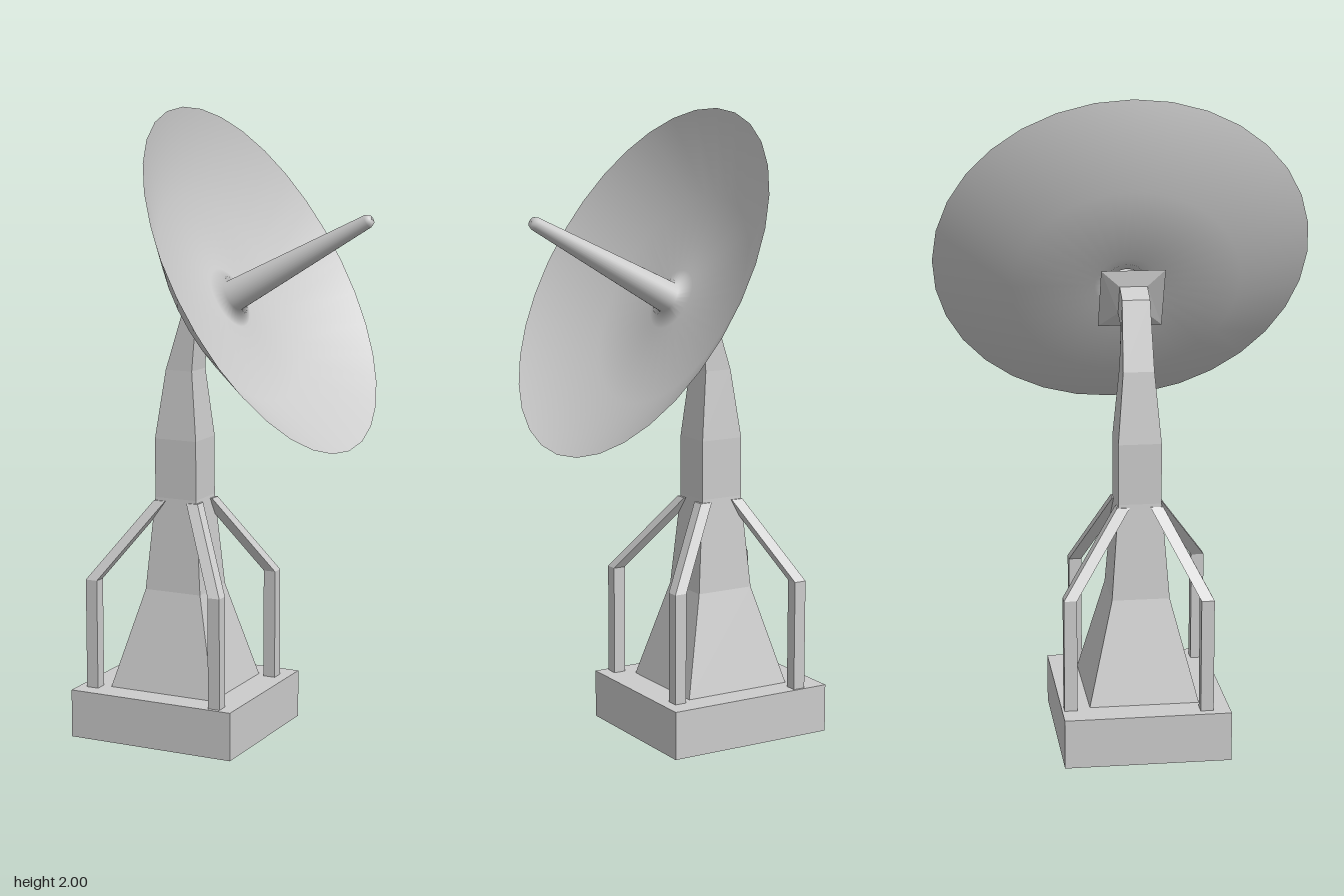
import * as THREE from 'three';

const CX = -0.18, CZ = 0.015; // centre of the base and tower

// Skin a list of four-cornered sections (listed bottom to top) and cap both ends.
function loft(name, sections) {
  const pos = [];
  const quad = (a, b, c, d) => [a, b, c, a, c, d].forEach((p) => pos.push(...p));
  for (let i = 0; i < sections.length - 1; i++) {
    const lo = sections[i], hi = sections[i + 1];
    for (let k = 0; k < 4; k++) {
      const n = (k + 1) % 4;
      quad(lo[k], lo[n], hi[n], hi[k]);
    }
  }
  const [a, b, c, d] = sections[0];
  quad(d, c, b, a);
  quad(...sections[sections.length - 1]);
  const geo = new THREE.BufferGeometry();
  geo.setAttribute('position', new THREE.Float32BufferAttribute(pos, 3));
  geo.computeVertexNormals();
  const mesh = new THREE.Mesh(geo, new THREE.MeshStandardMaterial({ color: 0xcccccc, flatShading: true }));
  mesh.name = name;
  return mesh;
}

// Section spanning two points of the side profile, with half width w in z.
const section = (x0, y0, x1, y1, w) => [
  [x0, y0, CZ + w], [x1, y1, CZ + w], [x1, y1, CZ - w], [x0, y0, CZ - w],
];

// Level square section around a point.
const square = (x, y, z, h = 0.02) => [
  [x - h, y, z + h], [x + h, y, z + h], [x + h, y, z - h], [x - h, y, z - h],
];

export function createModel() {
  const model = new THREE.Group();
  model.name = 'dishAntenna';

  // Base slab
  const base = new THREE.Mesh(
    new THREE.BoxGeometry(0.565, 0.155, 0.515),
    new THREE.MeshStandardMaterial({ color: 0xcccccc, flatShading: true }),
  );
  base.name = 'base';
  base.position.set(CX, 0.0775, CZ);
  model.add(base);

  // Tapering tower, bent neck and flared mounting plate
  model.add(loft('tower', [
    section(-0.365, 0.155, 0, 0.155, 0.17),
    section(-0.28, 0.47, -0.085, 0.47, 0.09),
    section(-0.255, 0.77, -0.11, 0.77, 0.067),
    section(-0.255, 0.96, -0.11, 0.96, 0.067),
    section(-0.225, 1.18, -0.133, 1.18, 0.048),
    section(-0.16, 1.39, -0.125, 1.3, 0.043),
    section(-0.1, 1.42, -0.06, 1.33, 0.043),
    section(-0.1, 1.47, -0.01, 1.28, 0.1),
  ]));

  // Four bent struts from the base to the tower corners
  const feet = [[-0.365, -0.215], [-0.415, 0.2], [0.04, 0.24], [0.045, -0.157]];
  feet.forEach(([x, z], i) => {
    const topX = CX + Math.sign(x - CX) * 0.058;
    const topZ = CZ + Math.sign(z - CZ) * 0.052;
    model.add(loft(`strut${i + 1}`, [
      square(x, 0.15, z), square(x, 0.51, z), square(topX, 0.76, topZ),
    ]));
  });

  // Dish with its hollow feed horn, one smooth surface of revolution
  const profile = [
    [0.595, 0], [0.356, -0.139], [0.1, -0.139], [0.05, -0.125],
    [0.021, 0.395], [0.015, 0.408], [0, 0.408],
  ].map(([r, y]) => new THREE.Vector2(r, y)).reverse();
  profile.reverse();
  const dishGeo = new THREE.LatheGeometry(profile, 32);
  // The horn leans slightly towards the front
  const p = dishGeo.attributes.position;
  for (let i = 0; i < p.count; i++) if (p.getY(i) > 0.1) p.setZ(i, p.getZ(i) + 0.015);
  const dish = new THREE.Mesh(
    dishGeo,
    new THREE.MeshStandardMaterial({ color: 0xcccccc, side: THREE.DoubleSide }),
  );
  dish.name = 'dish';
  dish.position.set(0.095, 1.48, 0.003);
  dish.rotation.z = -Math.atan2(1.04, 0.57);
  model.add(dish);

  return model;
}
